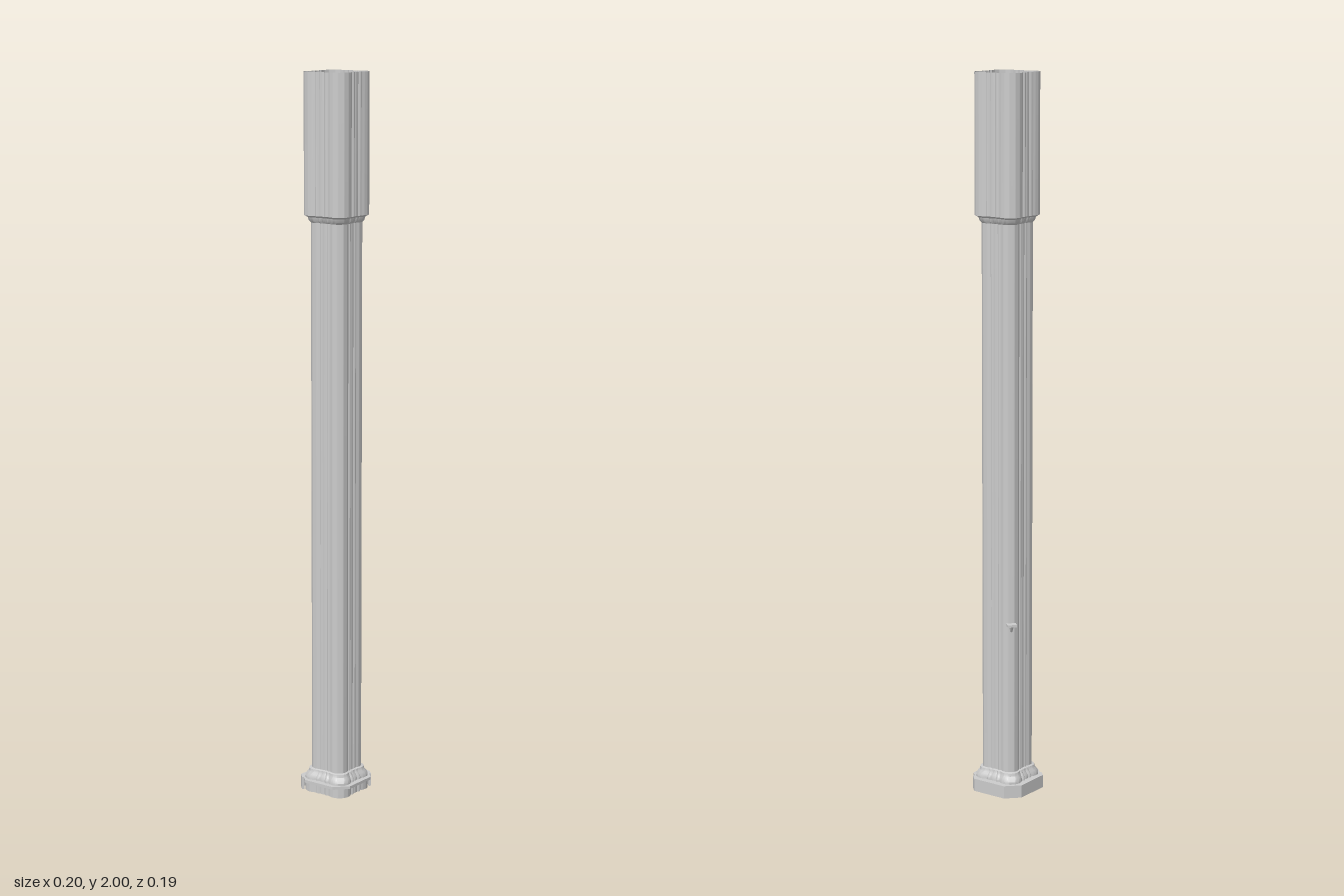
import * as THREE from 'three';
import { toCreasedNormals } from 'three/addons/utils/BufferGeometryUtils.js';

const material = new THREE.MeshStandardMaterial({ color: 0xcccccc, side: THREE.DoubleSide });

// Shafts bundled into the pier, in plan: [centre x, centre z, radius] for one quarter
const lobes = [];
for (let q = 0; q < 4; q++) {
  const c = Math.round(Math.cos(q * Math.PI / 2)), s = Math.round(Math.sin(q * Math.PI / 2));
  for (const [x, z, r] of [[0.057, 0, 0.032], [0.056, 0.034, 0.007], [0.037, 0.037, 0.016], [0.034, 0.056, 0.007]]) {
    lobes.push([x * c - z * s, x * s + z * c, r]);
  }
}

// Distance from the axis to the outermost lobe at an angle
function outline(angle) {
  const dx = Math.cos(angle), dz = Math.sin(angle);
  let best = 0.05;
  for (const [x, z, r] of lobes) {
    const along = x * dx + z * dz, off = x * dz - z * dx;
    if (along > 0 && Math.abs(off) < r) best = Math.max(best, along + Math.sqrt(r * r - off * off));
  }
  return best;
}

// Open lobed wall through rings of [y, scale], over an arc of the plan
function lobedWall(name, rings, arc = Math.PI * 2) {
  const steps = Math.round(160 * arc / (Math.PI * 2));
  const positions = [], index = [];
  for (const [y, scale] of rings) {
    for (let i = 0; i <= steps; i++) {
      const a = i / steps * arc, r = outline(a) * scale;
      positions.push(Math.cos(a) * r, y, Math.sin(a) * r);
    }
  }
  const row = steps + 1;
  for (let j = 0; j < rings.length - 1; j++) {
    for (let i = 0; i < steps; i++) {
      const a = j * row + i, b = a + 1, c = a + row, d = c + 1;
      index.push(a, c, b, b, c, d);
    }
  }
  const geometry = new THREE.BufferGeometry();
  geometry.setAttribute('position', new THREE.Float32BufferAttribute(positions, 3));
  geometry.setIndex(index);
  return named(name, toCreasedNormals(geometry, 0.5));
}

function named(name, geometry) {
  const mesh = new THREE.Mesh(geometry, material);
  mesh.name = name;
  return mesh;
}

export function createModel() {
  const model = new THREE.Group();
  model.name = 'clusteredPier';

  // Wide hollow head, stepping in to the shaft
  model.add(lobedWall('head', [[1.6, 0.78], [1.605, 0.84], [1.615, 0.88], [1.62, 0.99], [2, 0.99]]));
  model.add(lobedWall('shaft', [[0.06, 0.78], [1.6, 0.78]]));

  // Base moulding
  model.add(lobedWall('baseMoulding', [[0.03, 0.99], [0.042, 0.99], [0.05, 0.94], [0.056, 0.88], [0.064, 0.86], [0.066, 0.78]]));

  // Octagonal slab under the moulding
  const plan = new THREE.Shape([
    [0.093, -0.025], [0.093, 0.025], [0.025, 0.093], [-0.025, 0.093],
    [-0.093, 0.025], [-0.093, -0.025], [-0.025, -0.093], [0.025, -0.093],
  ].map(([x, z]) => new THREE.Vector2(x, z)));
  const slab = new THREE.ExtrudeGeometry(plan, { depth: 0.008, bevelEnabled: false });
  slab.rotateX(Math.PI / 2).translate(0, 0.036, 0);
  model.add(named('octagonSlab', slab));

  // Front of the foot follows the lobes
  model.add(lobedWall('frontFoot', [[0, 0.99], [0.03, 0.99]], Math.PI));

  // Back of the foot is a half octagon
  const half = [[0.098, 0], [0.098, -0.025], [0.025, -0.097], [-0.025, -0.097], [-0.098, -0.025], [-0.098, 0]];
  const inner = half.map(([x, z]) => [x * 0.93, z * 0.93]).reverse();
  const footPlan = new THREE.Shape([...half, ...inner].map(([x, z]) => new THREE.Vector2(x, z)));
  const foot = new THREE.ExtrudeGeometry(footPlan, { depth: 0.036, bevelEnabled: false });
  foot.rotateX(Math.PI / 2).translate(0, 0.036, 0);
  model.add(named('backFoot', foot));

  // Small hook on the back of the shaft
  const hook = new THREE.Group();
  hook.name = 'hook';
  const plate = named('hookPlate', new THREE.BoxGeometry(0.026, 0.007, 0.022));
  plate.position.set(0, 0.496, -0.077);
  const stem = named('hookStem', new THREE.CylinderGeometry(0.006, 0.004, 0.024, 8));
  stem.position.set(0, 0.487, -0.075);
  stem.rotation.x = -0.5;
  hook.add(plate, stem);
  model.add(hook);

  return model;
}
